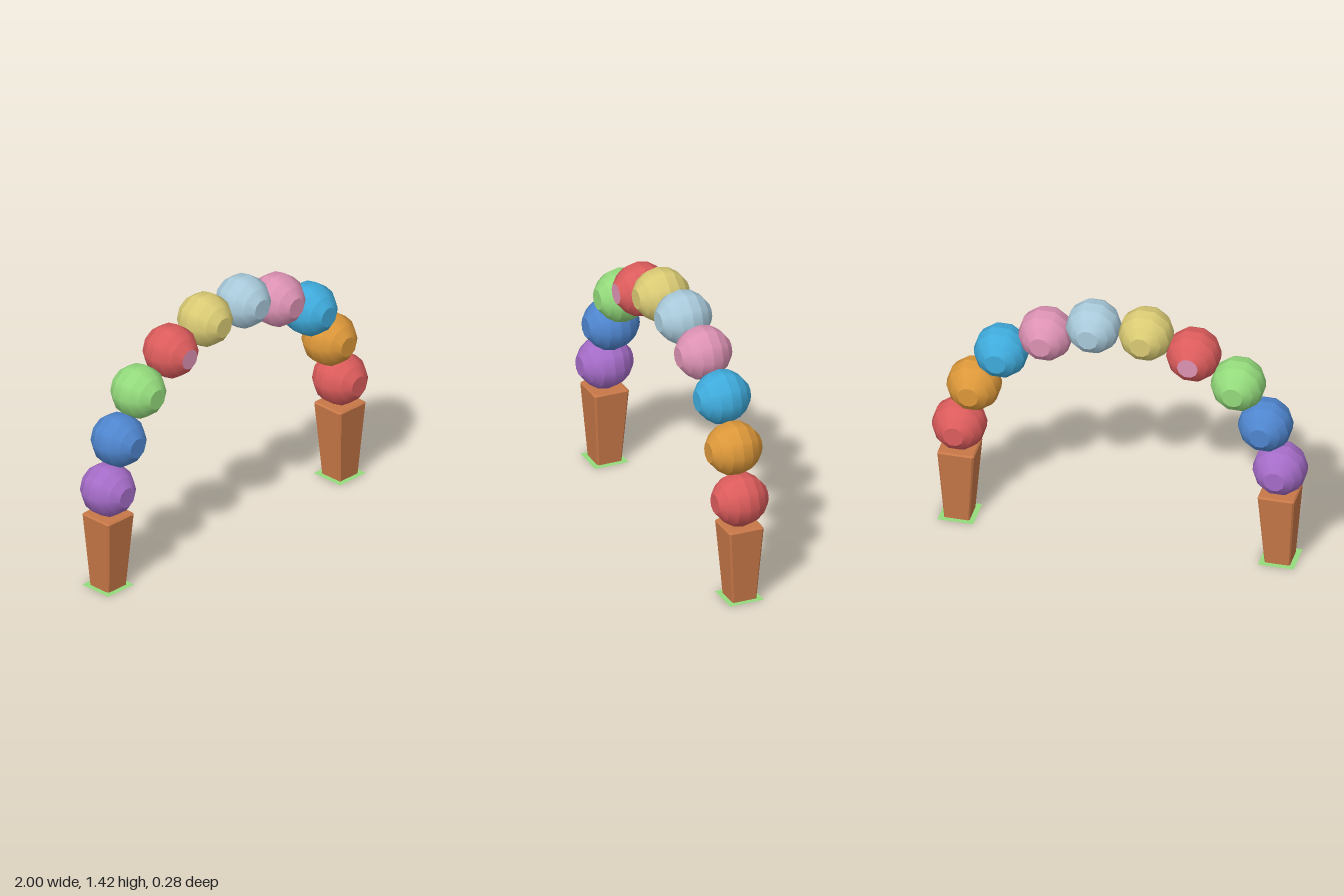
import * as THREE from 'three';

const mat = (name, color) => {
  const m = new THREE.MeshStandardMaterial({ color });
  m.name = name;
  return m;
};

const R = 0.145; // balloon radius
const SIDES = 10;
const ROWS = 8;

// Balloon: flat-profiled bands stacked along z, smooth around, closed by a disc at each end
function makeBalloon(name, material, capMaterial) {
  const balloon = new THREE.Group();
  balloon.name = name;
  const ring = (i) => {
    const a = (i / ROWS) * Math.PI;
    return { r: R * Math.sin(a), z: R * Math.cos(a) };
  };
  const capZ = R * 0.97;
  for (let i = 1; i < ROWS - 1; i++) {
    const front = ring(i), back = ring(i + 1);
    if (i === 1) front.z = capZ;
    if (i === ROWS - 2) back.z = -capZ;
    const band = new THREE.CylinderGeometry(front.r, back.r, front.z - back.z, SIDES, 1, true, Math.PI / 2);
    band.rotateX(Math.PI / 2);
    band.translate(0, 0, (front.z + back.z) / 2);
    const mesh = new THREE.Mesh(band, material);
    mesh.name = 'balloonBand';
    balloon.add(mesh);
  }
  for (const side of [1, -1]) {
    const disc = new THREE.CircleGeometry(ring(1).r, SIDES);
    if (side < 0) disc.rotateY(Math.PI);
    disc.translate(0, 0, side * capZ);
    const mesh = new THREE.Mesh(disc, capMaterial);
    mesh.name = 'balloonEnd';
    balloon.add(mesh);
  }
  return balloon;
}

// Post: chamfered square that widens upwards, with a small bevel at the top rim
function makePostGeometry() {
  const h = 1, c = 0.1;
  const square = new THREE.Shape([
    [h, -h + c], [h, h - c], [h - c, h], [-h + c, h],
    [-h, h - c], [-h, -h + c], [-h + c, -h], [h - c, -h],
  ].map(([x, y]) => new THREE.Vector2(x, y)));
  const geo = new THREE.ExtrudeGeometry(square, { depth: 2, steps: 2, bevelEnabled: false });
  geo.rotateX(-Math.PI / 2);
  const levels = [{ y: 0, w: 0.068 }, { y: 0.412, w: 0.098 }, { y: 0.42, w: 0.09 }];
  const p = geo.attributes.position;
  for (let i = 0; i < p.count; i++) {
    const { y, w } = levels[Math.round(p.getY(i))];
    p.setXYZ(i, p.getX(i) * w, y, p.getZ(i) * w);
  }
  geo.computeVertexNormals();
  return geo;
}

export function createModel() {
  const model = new THREE.Group();
  model.name = 'balloonArch';

  const purple = mat('purple', 0xa56cc8);
  const blue = mat('blue', 0x4f86cf);
  const green = mat('green', 0x94db7c);
  const red = mat('red', 0xdd5c5c);
  const yellow = mat('yellow', 0xdacb74);
  const paleBlue = mat('paleBlue', 0xa9cadb);
  const pink = mat('pink', 0xdd92b4);
  const cyan = mat('cyan', 0x3fabdc);
  const orange = mat('orange', 0xdd983a);
  const brown = mat('brown', 0xc87848);

  // Balloons, mirrored across the arch; each row is x, y, right colour, left colour
  const rows = [
    [0.853, 0.56, purple, red],
    [0.775, 0.82, blue, orange],
    [0.63, 1.05, green, cyan],
    [0.393, 1.195, red, pink],
    [0.14, 1.283, yellow, paleBlue],
  ];
  rows.forEach(([x, y, rightColor, leftColor], i) => {
    const right = makeBalloon('rightBalloon' + (i + 1), rightColor, i === 3 ? pink : rightColor);
    right.position.set(-x, y, 0);
    const left = makeBalloon('leftBalloon' + (i + 1), leftColor, leftColor);
    left.position.set(x, y, 0);
    model.add(right, left);
  });

  // Posts, each standing on a thin green sheet
  const postGeo = makePostGeometry();
  const sheetGeo = new THREE.PlaneGeometry(0.19, 0.19).rotateX(-Math.PI / 2);
  green.side = THREE.DoubleSide;
  for (const side of [-1, 1]) {
    const label = side < 0 ? 'right' : 'left';
    const post = new THREE.Mesh(postGeo, brown);
    post.name = label + 'Post';
    post.position.set(side * 0.852, 0.001, 0);
    const sheet = new THREE.Mesh(sheetGeo, green);
    sheet.name = label + 'GroundSheet';
    sheet.position.x = side * 0.852;
    model.add(post, sheet);
  }
  return model;
}
